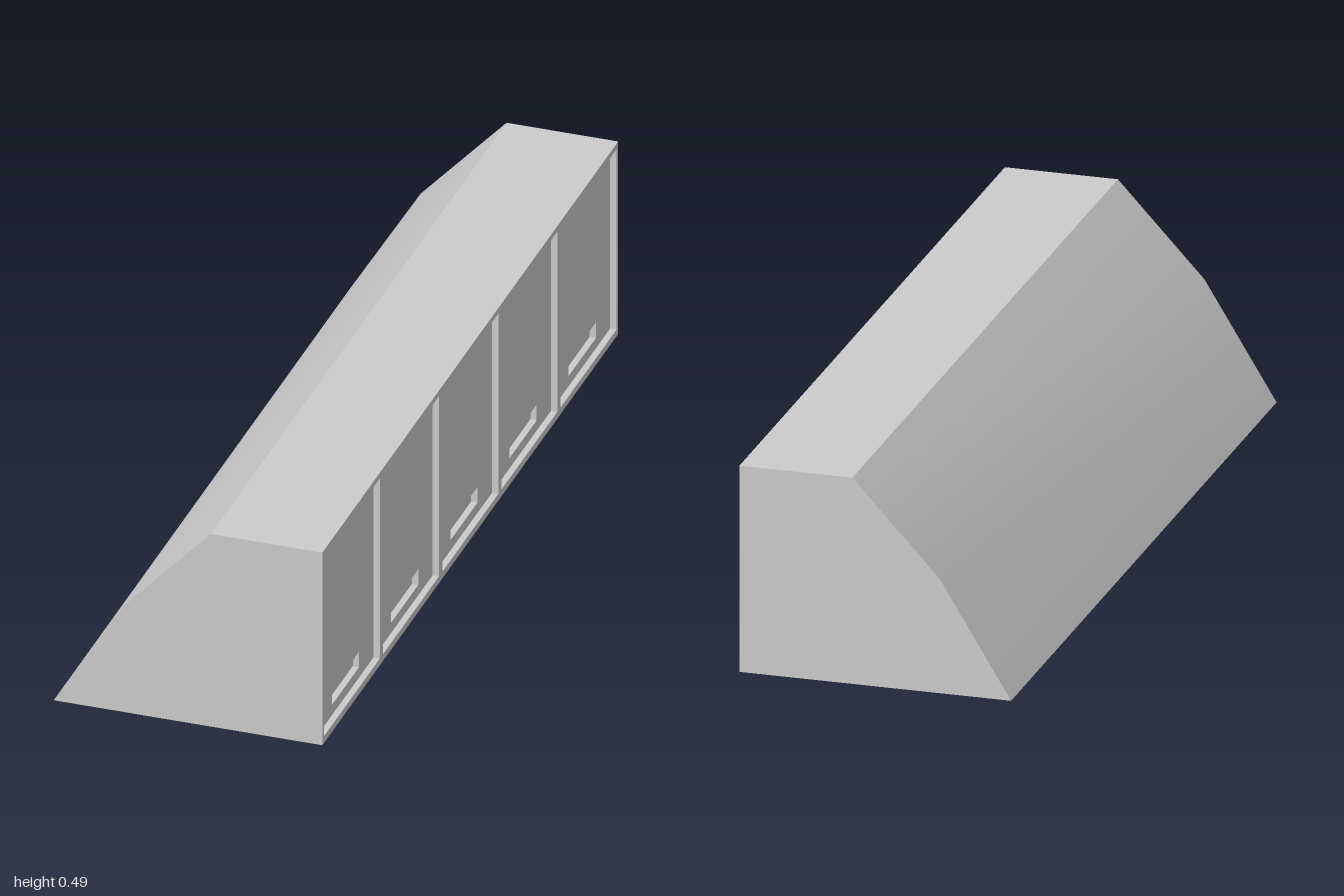
import * as THREE from 'three';
import { toCreasedNormals } from 'three/addons/utils/BufferGeometryUtils.js';

const material = new THREE.MeshStandardMaterial({ color: 0xcccccc });
const HALF = 1, BACK = 0.315, HEIGHT = 0.487;
const DOORS = 5, PITCH = 0.4;
const DOOR_DEPTH = 0.015, GRIP_DEPTH = 0.015;

// Walls swept along z from z0 to z1 through a list of [x, y] points
function walls(points, z0, z1) {
  const pos = [];
  for (let i = 0; i < points.length - 1; i++) {
    const [ax, ay] = points[i], [bx, by] = points[i + 1];
    pos.push(ax, ay, z0, bx, by, z0, bx, by, z1, ax, ay, z0, bx, by, z1, ax, ay, z1);
  }
  const geo = new THREE.BufferGeometry();
  geo.setAttribute('position', new THREE.Float32BufferAttribute(pos, 3));
  return toCreasedNormals(geo, 0.4);
}

// Counter-clockwise rectangle outline
const rect = (x0, x1, y0, y1) => [[x0, y0], [x1, y0], [x1, y1], [x0, y1]];
const closed = (pts) => [...pts, pts[0]];
const vectors = (pts) => pts.map(([x, y]) => new THREE.Vector2(x, y));

// Flat sheet facing +z with optional openings
function sheet(outline, holes = []) {
  const shape = new THREE.Shape(vectors(outline));
  for (const h of holes) shape.holes.push(new THREE.Path(vectors(h)));
  return new THREE.ShapeGeometry(shape);
}

function add(parent, name, geo, z = 0) {
  const mesh = new THREE.Mesh(geo, material);
  mesh.name = name;
  mesh.position.z = z;
  parent.add(mesh);
  return mesh;
}

export function createModel() {
  const model = new THREE.Group();
  model.name = 'overheadCabinet';

  // Casing: top, sloping shell and floor, closed by two end panels
  const profile = [[BACK, HEIGHT], [0.053, HEIGHT], [-0.148, 0.272], [-BACK, 0], [BACK, 0]];
  add(model, 'casing', walls(profile, -HALF, HALF));
  add(model, 'frontEndPanel', sheet(profile), HALF);
  const mirrored = profile.map(([x, y]) => [-x, y]).reverse();
  add(model, 'backEndPanel', sheet(mirrored), -HALF).rotation.y = Math.PI;

  // Door side, laid out facing +z and turned towards +x
  const doorSide = new THREE.Group();
  doorSide.name = 'doorSide';
  doorSide.rotation.y = Math.PI / 2;
  doorSide.position.x = BACK;
  model.add(doorSide);

  const openings = [];
  for (let i = 0; i < DOORS; i++) {
    const c = (i - (DOORS - 1) / 2) * PITCH;
    const door = rect(c - 0.189, c + 0.189, 0.017, 0.473);
    const grip = rect(c - 0.092, c + 0.092, 0.043, 0.083);
    openings.push(door);

    // Recessed door with a sunken finger grip
    const group = new THREE.Group();
    group.name = `door${i + 1}`;
    add(group, 'doorReveal', walls(closed(door), 0, -DOOR_DEPTH));
    add(group, 'doorPanel', sheet(door, [grip]), -DOOR_DEPTH);
    add(group, 'gripReveal', walls(closed(grip), -DOOR_DEPTH, -DOOR_DEPTH - GRIP_DEPTH));
    add(group, 'gripBack', sheet(grip), -DOOR_DEPTH - GRIP_DEPTH);
    doorSide.add(group);
  }
  add(doorSide, 'doorFrame', sheet(rect(-HALF, HALF, 0, HEIGHT), openings));

  return model;
}
